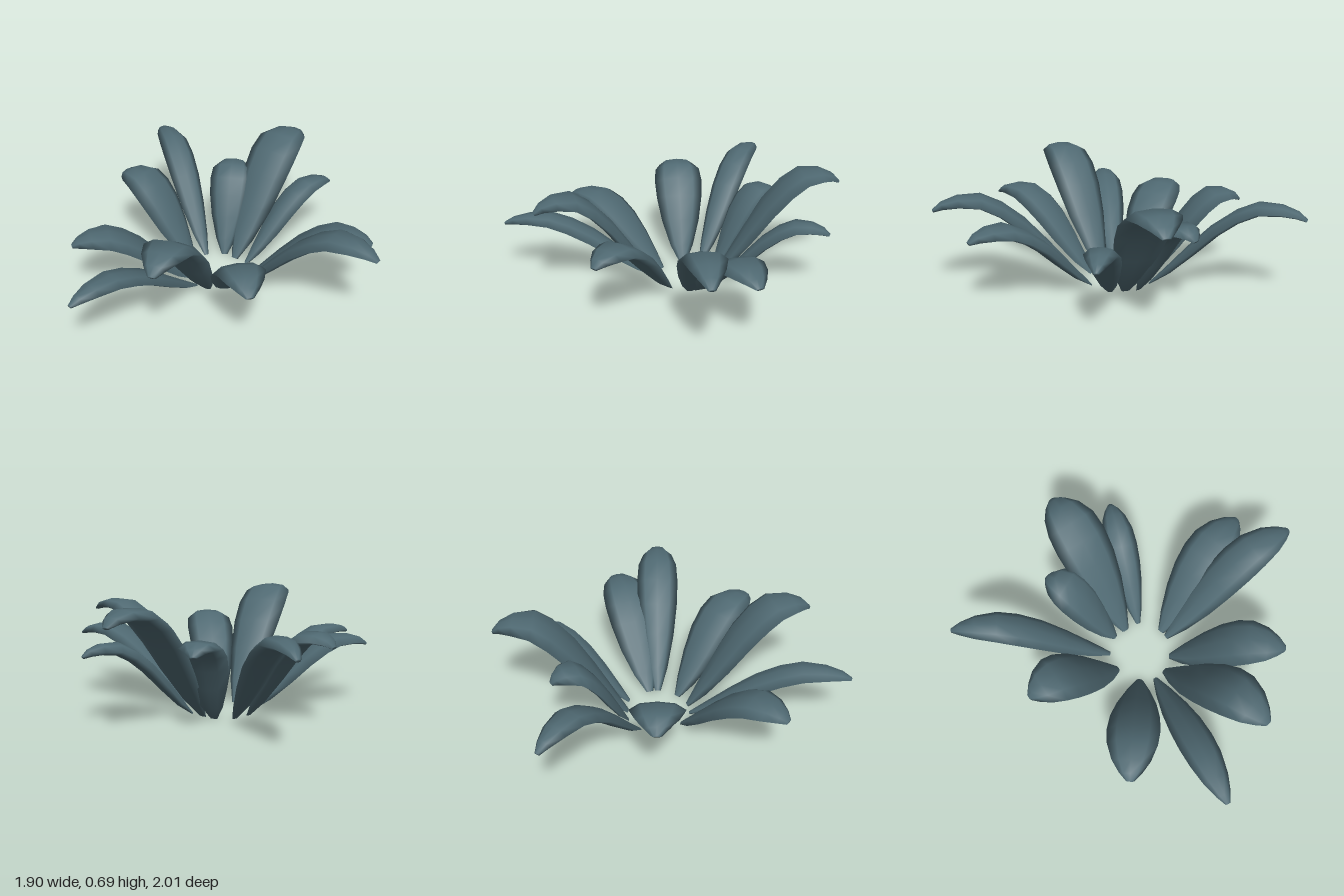
import * as THREE from 'three';

// Leaves: base x, base z, tip x, tip z, peak height, half width
const LEAVES = [
  [0.07, -0.05, 0.95, 0.08, 0.59, 0.13],
  [0.07, -0.10, 0.82, -0.22, 0.465, 0.155],
  [-0.09, -0.26, 0.01, -1.0, 0.69, 0.165],
  [0.0, -0.24, 0.31, -0.83, 0.455, 0.10],
  [-0.17, -0.27, -0.31, -0.70, 0.50, 0.135],
  [-0.27, -0.21, -0.94, -0.79, 0.58, 0.10],
  [-0.30, -0.10, -0.86, -0.19, 0.53, 0.155],
  [-0.25, 0.05, -0.75, 0.54, 0.42, 0.155],
  [-0.17, 0.11, -0.43, 1.0, 0.405, 0.105],
  [-0.09, 0.11, 0.0, 0.85, 0.675, 0.155],
  [0.0, 0.06, 0.43, 0.585, 0.49, 0.145],
];

// Stations along a leaf: run, height share, width share, thickness share
const STATIONS = [
  [0, 0, 0.14, 0.2], [0.12, 0.17, 0.47, 0.6], [0.28, 0.43, 0.78, 0.9],
  [0.43, 0.67, 0.95, 1], [0.57, 0.84, 1, 1], [0.7, 0.94, 0.94, 1],
  [0.84, 0.95, 0.72, 0.85], [0.94, 0.92, 0.42, 0.6], [1, 0.875, 0.15, 0.25],
];

// Cushion-shaped cross-section: across, up
const SECTION = [
  [1, -0.2], [0.62, 0.75], [0, 1], [-0.62, 0.75],
  [-1, -0.2], [-0.55, -0.75], [0, -1], [0.55, -0.75],
];
const HALF_THICKNESS = 0.037;

function leafGeometry([bx, bz, tx, tz, peak, halfWidth]) {
  const centres = STATIONS.map(([s, h]) =>
    new THREE.Vector3(bx + (tx - bx) * s, h * peak, bz + (tz - bz) * s));
  const up = new THREE.Vector3(0, 1, 0);
  const across = new THREE.Vector3(tx - bx, 0, tz - bz).normalize().cross(up);
  const positions = [];
  const index = [];
  const n = SECTION.length;
  const last = centres.length - 1;

  // Rings square to the arching midrib
  centres.forEach((c, i) => {
    const along = centres[Math.min(i + 1, last)].clone().sub(centres[Math.max(i - 1, 0)]);
    const normal = across.clone().cross(along).normalize();
    for (const [u, v] of SECTION) {
      const p = c.clone()
        .addScaledVector(across, u * halfWidth * STATIONS[i][2])
        .addScaledVector(normal, v * HALF_THICKNESS * STATIONS[i][3]);
      positions.push(p.x, Math.max(0, p.y), p.z);
    }
  });
  for (let i = 0; i < last; i++) {
    for (let j = 0; j < n; j++) {
      const a = i * n + j, b = i * n + (j + 1) % n;
      index.push(a, a + n, b, b, a + n, b + n);
    }
  }

  // Closed base and tip
  const base = positions.length / 3;
  positions.push(...centres[0].toArray(), ...centres[last].toArray());
  for (let j = 0; j < n; j++) {
    const k = (j + 1) % n;
    index.push(base, j, k, base + 1, last * n + k, last * n + j);
  }

  const geometry = new THREE.BufferGeometry();
  geometry.setAttribute('position', new THREE.Float32BufferAttribute(positions, 3));
  geometry.setIndex(index);
  geometry.computeVertexNormals();
  return geometry;
}

export function createModel() {
  const model = new THREE.Group();
  model.name = 'leafRosette';
  const leafMaterial = new THREE.MeshStandardMaterial({ color: 0x4f6972 });
  leafMaterial.name = 'slate teal leaf';
  LEAVES.forEach((leaf, i) => {
    const mesh = new THREE.Mesh(leafGeometry(leaf), leafMaterial);
    mesh.name = `leaf${i + 1}`;
    model.add(mesh);
  });
  return model;
}
